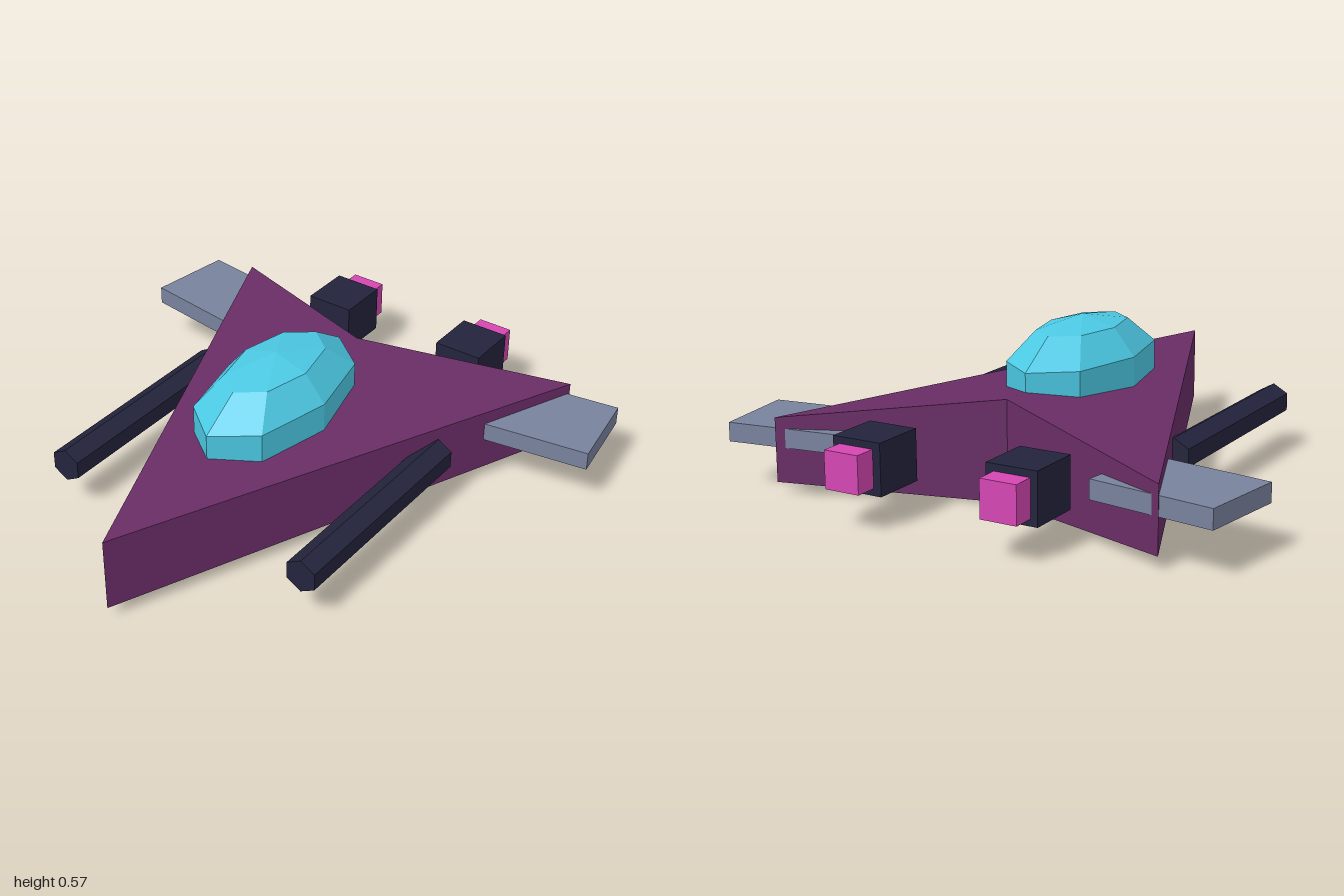
import * as THREE from 'three';

const mat = (name, color) => {
  const m = new THREE.MeshStandardMaterial({ color, flatShading: true });
  m.name = name;
  return m;
};

// Faceted arrowhead hull: four outline points, each with its own top and bottom height
function hullGeometry() {
  const outline = [ // x, z, bottom, top
    [0, 1, 0.05, 0.33],
    [0.75, -0.79, 0.05, 0.285],
    [0, -0.465, 0.003, 0.375],
    [-0.75, -0.79, 0.05, 0.285],
  ];
  const positions = [];
  outline.forEach(([x, z, low, high]) => positions.push(x, low, z, x, high, z));
  const index = [];
  for (let i = 0; i < 4; i++) {
    const a = i * 2, b = ((i + 1) % 4) * 2;
    index.push(a, b, b + 1, a, b + 1, a + 1);
  }
  index.push(1, 3, 5, 1, 5, 7); // top, ridged along the centre
  index.push(0, 4, 2, 0, 6, 4); // bottom, keeled along the centre
  const g = new THREE.BufferGeometry();
  g.setAttribute('position', new THREE.Float32BufferAttribute(positions, 3));
  g.setIndex(index);
  const flat = g.toNonIndexed();
  flat.computeVertexNormals();
  return flat;
}

export function createModel() {
  const hullPurple = mat('hull purple', 0x692d66);
  const glass = mat('canopy cyan', 0x4cc9e4);
  const dark = mat('dark navy', 0x23233d);
  const grey = mat('fin grey', 0x78829c);
  const pink = mat('exhaust pink', 0xd446b2);

  const model = new THREE.Group();
  model.name = 'spaceship';
  const add = (name, geometry, material, x, y, z) => {
    const mesh = new THREE.Mesh(geometry, material);
    mesh.name = name;
    mesh.position.set(x, y, z);
    model.add(mesh);
    return mesh;
  };

  add('hull', hullGeometry(), hullPurple, 0, 0, 0);

  // Canopy: coarse stretched sphere sunk into the hull
  add('canopy', new THREE.SphereGeometry(1, 8, 5), glass, 0, 0.378, 0.055)
    .scale.set(0.225, 0.2, 0.42);

  // Hexagonal barrel with a corner pointing up
  const cannon = new THREE.CylinderGeometry(0.065, 0.065, 0.85, 6).rotateX(Math.PI / 2);
  const fin = new THREE.BoxGeometry(0.47, 0.07, 0.33);
  const engine = new THREE.BoxGeometry(0.19, 0.185, 0.205);
  const exhaust = new THREE.BoxGeometry(0.135, 0.135, 0.14);

  for (const [side, s] of [['left', 1], ['right', -1]]) {
    add(side + 'Cannon', cannon, dark, s * 0.52, 0.19, 0.195);
    add(side + 'Fin', fin, grey, s * 0.735, 0.21, -0.612).rotation.y = s * 0.145;
    add(side + 'Engine', engine, dark, s * 0.3, 0.2125, -0.815);
    add(side + 'Exhaust', exhaust, pink, s * 0.302, 0.2125, -0.93);
  }
  return model;
}
